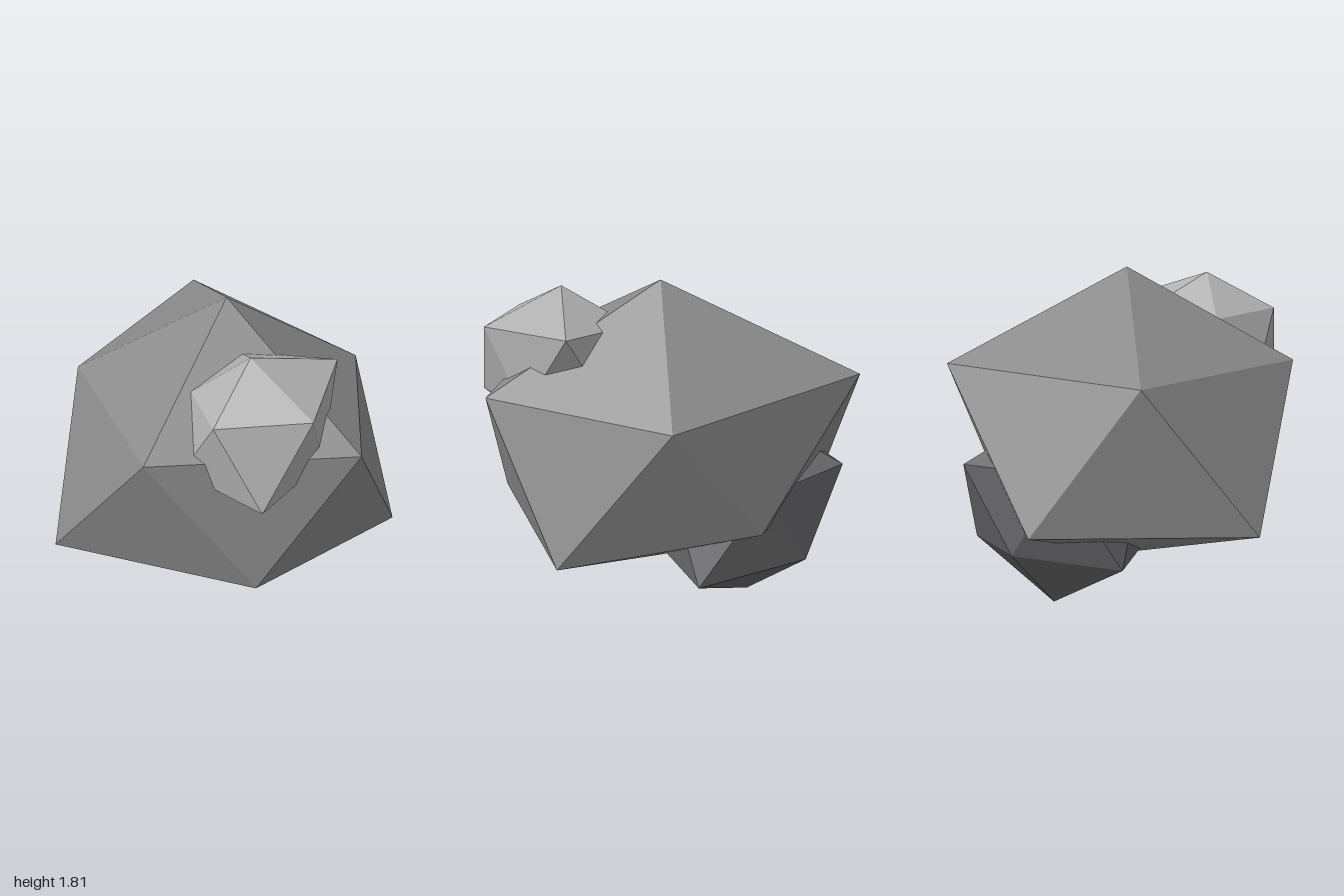
import * as THREE from 'three';

const material = (name, color) => {
  const m = new THREE.MeshStandardMaterial({ color });
  m.name = name;
  return m;
};

// Irregular twenty-sided stone: two poles and two staggered rings of five corners.
// Each corner slides along its own ray from the centre by the given ring radius.
function stone({ name, mat, center, top, bottom, upper, lower, squash = [1, 1, 1] }) {
  const corner = (radius, degrees, side) => {
    const a = THREE.MathUtils.degToRad(degrees);
    return new THREE.Vector3(
      center[0] + radius * Math.cos(a) * squash[0],
      center[1] + side * radius * 0.5 * squash[1],
      center[2] + radius * Math.sin(a) * squash[2]
    );
  };
  const t = new THREE.Vector3(center[0], top, center[2]);
  const b = new THREE.Vector3(center[0], bottom, center[2]);
  const u = upper.map((r, i) => corner(r, 72 * i, 1));
  const l = lower.map((r, i) => corner(r, 72 * i + 36, -1));

  const points = [];
  for (let i = 0; i < 5; i++) {
    const j = (i + 1) % 5;
    points.push(t, u[j], u[i]); // cap
    points.push(u[i], u[j], l[i], l[i], u[j], l[j]); // belt
    points.push(b, l[i], l[j]); // base
  }
  const geometry = new THREE.BufferGeometry().setFromPoints(points);
  geometry.computeVertexNormals(); // unshared corners give flat facets
  const mesh = new THREE.Mesh(geometry, mat);
  mesh.name = name;
  return mesh;
}

export function createModel() {
  const group = new THREE.Group();
  group.name = 'rock';

  group.add(
    // Large body, flattened a little in height and depth
    stone({
      name: 'mainBoulder',
      mat: material('mid grey stone', 0x8a8a8a),
      center: [0.03, 0.928, -0.12],
      top: 1.81,
      bottom: 0.2,
      upper: [0.97, 1.0, 0.865, 1.087, 0.87],
      lower: [0.902, 1.115, 1.03, 0.83, 0.99],
      squash: [1, 0.78, 0.9],
    }),
    // Pale lump on the upper left shoulder
    stone({
      name: 'lightChunk',
      mat: material('light grey stone', 0xb0b0b0),
      center: [0.48, 1.375, 0.15],
      top: 1.76,
      bottom: 0.85,
      upper: [0.43, 0.38, 0.3, 0.38, 0.495],
      lower: [0.455, 0.38, 0.38, 0.38, 0.38],
    }),
    // Dark lump under the rear right
    stone({
      name: 'darkChunk',
      mat: material('dark grey stone', 0x68686b),
      center: [-0.41, 0.57, -0.34],
      top: 1.07,
      bottom: 0,
      upper: [0.5, 0.5, 0.49, 0.5, 0.475],
      lower: [0.57, 0.55, 0.41, 0.43, 0.58],
    })
  );
  return group;
}
